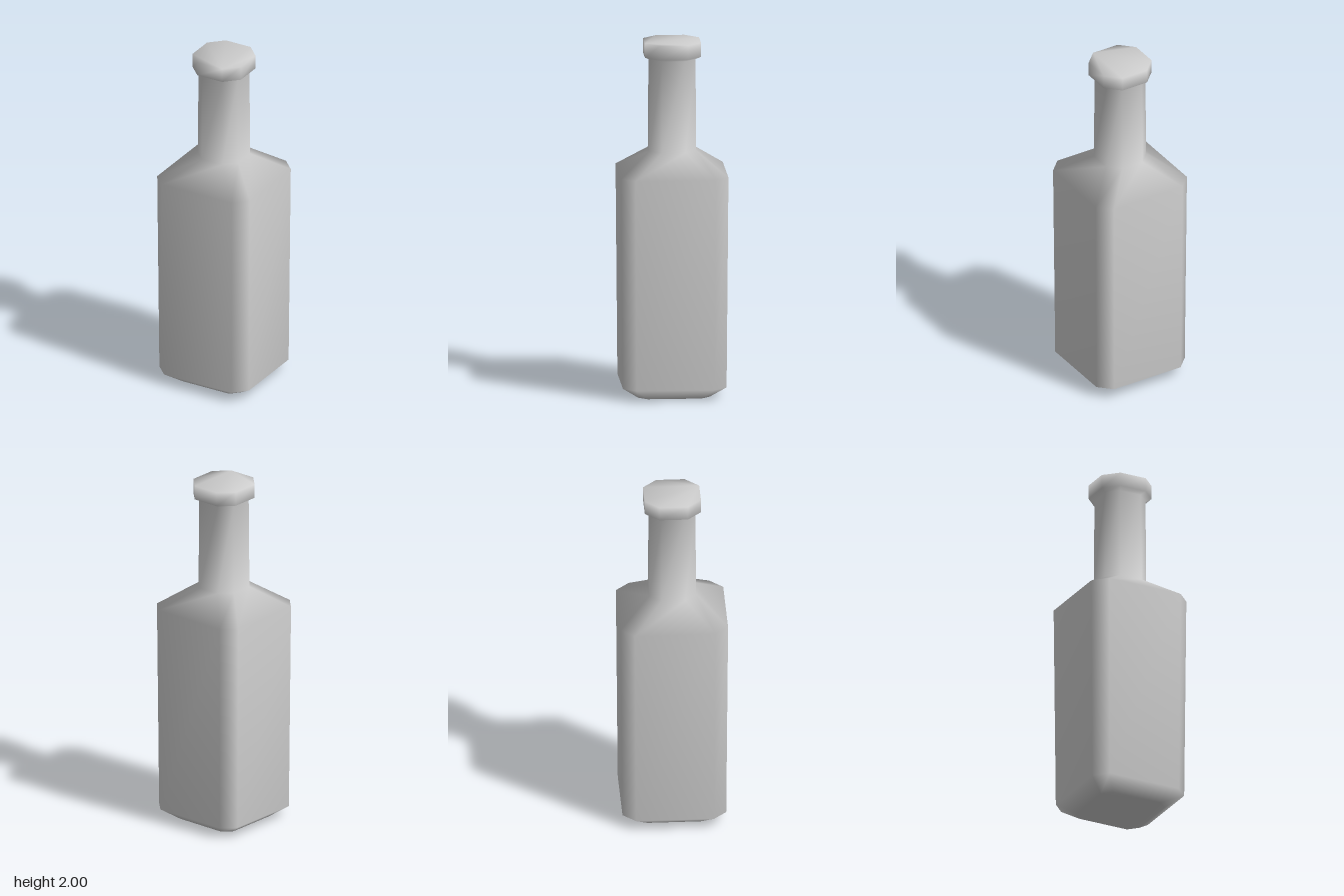
import * as THREE from 'three';

// Rings from the base up: [height, half width, half length of the flat side]
const RINGS = [
  [0, 0.2, 0.15],
  [0.065, 0.29, 0.218],
  [1.26, 0.3, 0.225],
  [1.385, 0.131, 0.066],
  [1.905, 0.127, 0.064],
  [1.92, 0.157, 0.08],
  [2, 0.157, 0.08],
];
const SIDES = 8;

// Corners of a square with cut corners, counter-clockwise seen from +z towards +x
function ringPoints([y, r, c]) {
  return [[c, r], [r, c], [r, -c], [c, -r], [-c, -r], [-r, -c], [-r, c], [-c, r]]
    .flatMap(([x, z]) => [x, y, z]);
}

function bottleGeometry() {
  const index = [];
  // Walls between neighbouring rings
  for (let k = 0; k < RINGS.length - 1; k++) {
    for (let i = 0; i < SIDES; i++) {
      const j = (i + 1) % SIDES;
      const a = k * SIDES + i, b = k * SIDES + j;
      index.push(a, b, b + SIDES, a, b + SIDES, a + SIDES);
    }
  }
  // Flat base and top caps, sharing the wall corners so the shading stays soft
  const top = (RINGS.length - 1) * SIDES;
  for (let i = 1; i < SIDES - 1; i++) {
    index.push(0, i + 1, i);
    index.push(top, top + i, top + i + 1);
  }
  const geometry = new THREE.BufferGeometry();
  geometry.setAttribute('position', new THREE.Float32BufferAttribute(RINGS.flatMap(ringPoints), 3));
  geometry.setIndex(index);
  geometry.computeVertexNormals();
  return geometry;
}

export function createModel() {
  const group = new THREE.Group();
  group.name = 'bottle';
  const glass = new THREE.MeshStandardMaterial({ color: 0xcccccc });
  glass.name = 'light grey';

  // Body, shoulder, neck and rim form one continuous smooth shell
  const shell = new THREE.Mesh(bottleGeometry(), glass);
  shell.name = 'bottleShell';
  group.add(shell);
  return group;
}
